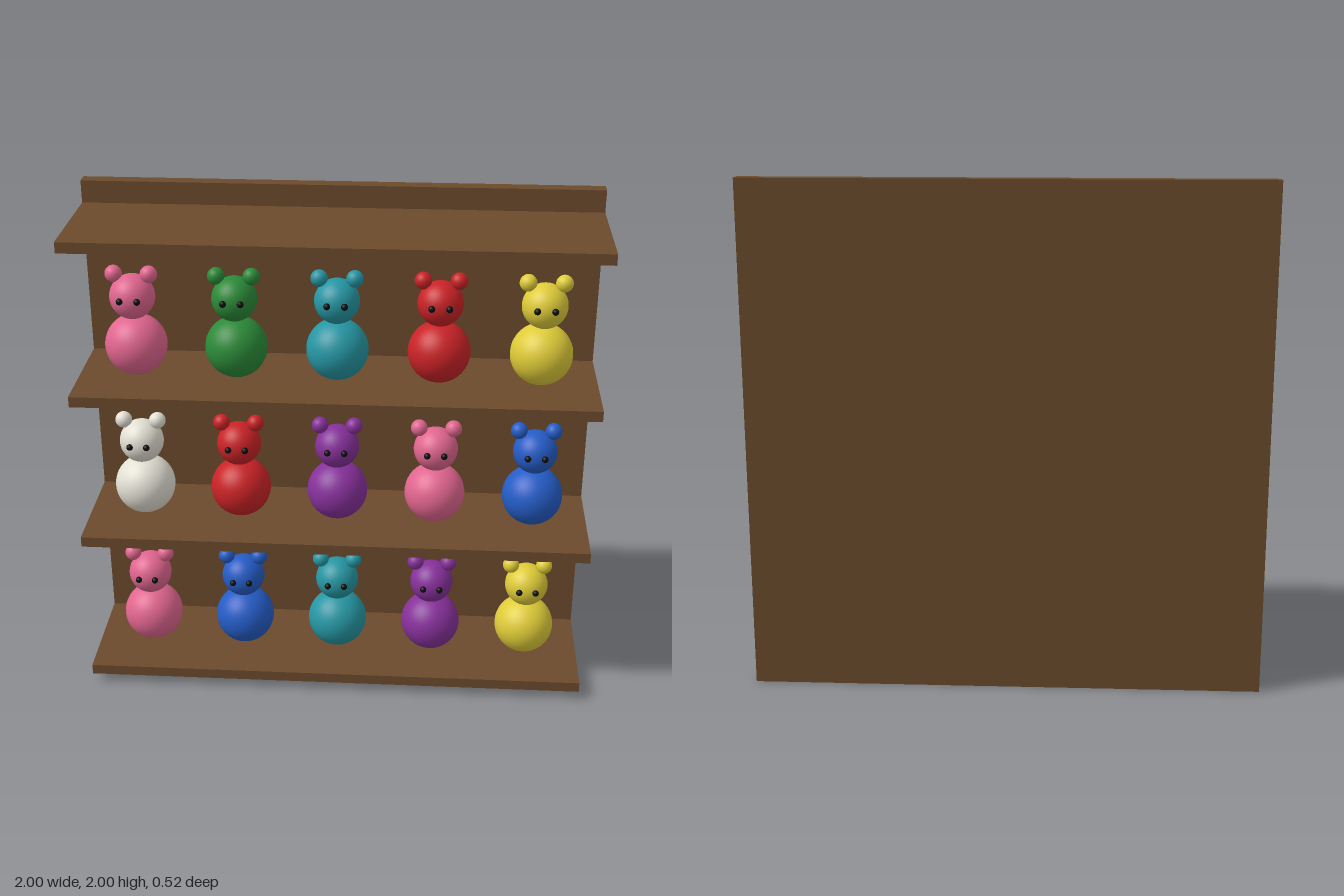
import * as THREE from 'three';

const material = (name, color) => {
  const m = new THREE.MeshStandardMaterial({ color });
  m.name = name;
  return m;
};

export function createModel() {
  const model = new THREE.Group();
  model.name = 'toyShelf';

  const wood = material('brownWood', 0x6b4a2c);
  const black = material('black', 0x0c0c0c);
  const colors = {
    pink: material('pink', 0xe0658f),
    green: material('green', 0x2b8a38),
    teal: material('teal', 0x2596a3),
    red: material('red', 0xc92226),
    yellow: material('yellow', 0xdecb38),
    white: material('offWhite', 0xe2dfd3),
    purple: material('purple', 0x86309a),
    blue: material('blue', 0x245cc6),
  };

  const add = (parent, name, geometry, mat, x, y, z) => {
    const mesh = new THREE.Mesh(geometry, mat);
    mesh.name = name;
    mesh.position.set(x, y, z);
    parent.add(mesh);
  };

  // Back panel and four shelves
  const shelfTop = (i) => 0.08 + 0.611 * i;
  add(model, 'backPanel', new THREE.BoxGeometry(2, 2, 0.056), wood, 0, 1, -0.233);
  const shelfGeo = new THREE.BoxGeometry(2, 0.042, 0.466);
  for (let i = 0; i < 4; i++) add(model, 'shelf', shelfGeo, wood, 0, shelfTop(i) - 0.021, 0.028);

  // Toy bear, standing on y = 0
  const bodyGeo = new THREE.SphereGeometry(0.12, 32, 24);
  const headGeo = new THREE.SphereGeometry(0.087, 32, 24);
  const earGeo = new THREE.SphereGeometry(0.033, 20, 14);
  const eyeGeo = new THREE.SphereGeometry(0.013, 12, 10);
  const makeBear = (color) => {
    const bear = new THREE.Group();
    bear.name = 'toyBear';
    add(bear, 'body', bodyGeo, color, 0, 0.12, 0.013);
    add(bear, 'head', headGeo, color, 0, 0.324, 0.034);
    for (const s of [-1, 1]) {
      add(bear, 'ear', earGeo, color, s * 0.067, 0.413, 0.034);
      add(bear, 'eye', eyeGeo, black, s * 0.033, 0.332, 0.118);
    }
    return bear;
  };

  // Three rows of five bears, from the bottom shelf up
  const rows = [
    ['pink', 'blue', 'teal', 'purple', 'yellow'],
    ['white', 'red', 'purple', 'pink', 'blue'],
    ['pink', 'green', 'teal', 'red', 'yellow'],
  ];
  rows.forEach((row, r) => row.forEach((name, c) => {
    const bear = makeBear(colors[name]);
    bear.position.set((c - 2) * 0.389, shelfTop(r), 0);
    model.add(bear);
  }));

  return model;
}
